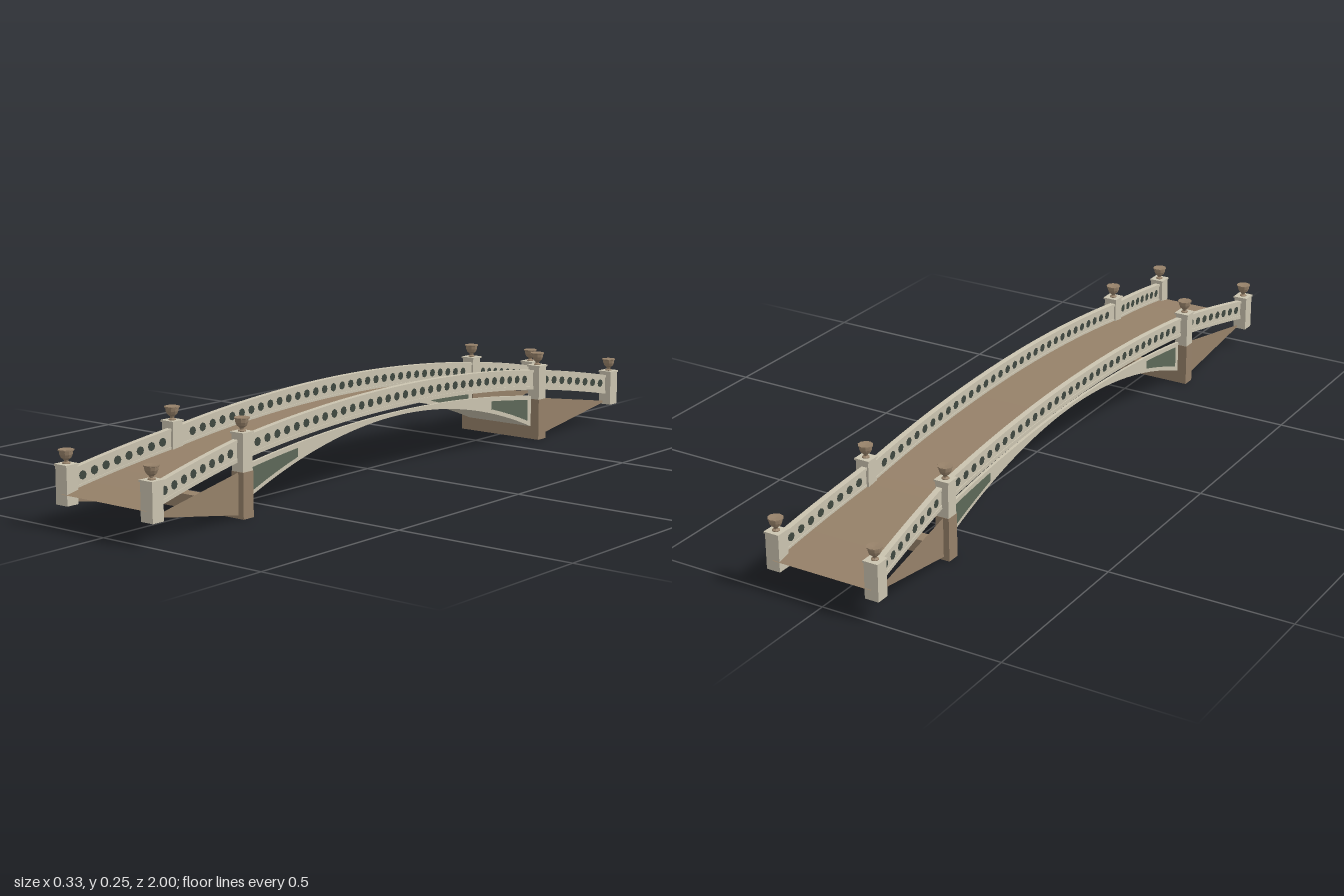
import * as THREE from 'three';
import { mergeGeometries } from 'three/addons/utils/BufferGeometryUtils.js';

const mat = (name, color, side = THREE.FrontSide) => {
  const m = new THREE.MeshStandardMaterial({ color, side });
  m.name = name;
  return m;
};

// Curves along the span
const POST = 0.637, END = 0.981;
const deckY = z => 0.19 - 0.105 * z * z;
const soffitY = z => 0.162 - 0.327 * z * z;
const wallTop = z => 0.172 - 0.12 * z * z;
const railX = z => 0.11 + Math.max(0, Math.abs(z) - POST) * 0.09;
const range = (a, b, n) => Array.from({ length: n + 1 }, (_, i) => a + (b - a) * i / n);

// Sweep a cross-section (counter-clockwise in x, y) along z
function sweep(zs, section, closed = true) {
  const pos = [];
  for (let k = 0; k < zs.length - 1; k++) {
    const z0 = zs[k], z1 = zs[k + 1], s0 = section(z0), s1 = section(z1);
    const n = closed ? s0.length : s0.length - 1;
    for (let i = 0; i < n; i++) {
      const j = (i + 1) % s0.length;
      const a = [...s0[i], z0], b = [...s0[j], z0], c = [...s1[j], z1], d = [...s1[i], z1];
      pos.push(...a, ...b, ...c, ...a, ...c, ...d);
    }
  }
  const g = new THREE.BufferGeometry();
  g.setAttribute('position', new THREE.Float32BufferAttribute(pos, 3));
  g.computeVertexNormals();
  return g;
}
const rect = (x, hw, y0, y1) => [[x - hw, y0], [x + hw, y0], [x + hw, y1], [x - hw, y1]];

export function createModel() {
  const model = new THREE.Group();
  model.name = 'footbridge';
  const cream = mat('cream stone', 0xcbc4b0);
  const brown = mat('brown stone', 0x968169, THREE.DoubleSide);
  const green = mat('dark green panel', 0x5d6858);
  const dark = mat('dark piercing', 0x3f4840);

  const add = (name, geo, material, parent = model) => {
    const m = new THREE.Mesh(geo, material);
    m.name = name;
    parent.add(m);
    return m;
  };
  const box = (name, w, y0, y1, d, material, parent) => {
    const m = add(name, new THREE.BoxGeometry(w, y1 - y0, d), material, parent);
    m.position.y = (y0 + y1) / 2;
    return m;
  };

  // Deck, flared towards both ends
  const deckZ = [...range(-1, -POST, 8), ...range(-POST, POST, 32).slice(1), ...range(POST, 1, 8).slice(1)];
  add('deck', sweep(deckZ, z => [[railX(z), deckY(z)], [-railX(z), deckY(z)]], false), brown);

  // Arch underside
  const archZ = range(-0.62, 0.62, 36);
  add('archSoffit', sweep(archZ, z => [[-0.11, soffitY(z)], [0.11, soffitY(z)]], false), cream);

  // Urn profile
  const urnGeo = new THREE.LatheGeometry([
    [0, 0], [0.01, 0], [0.01, 0.002], [0.005, 0.005], [0.006, 0.009], [0.013, 0.015],
    [0.0165, 0.023], [0.0175, 0.031], [0.02, 0.032], [0.02, 0.035], [0, 0.033],
  ].map(p => new THREE.Vector2(...p)), 10).toNonIndexed();
  urnGeo.computeVertexNormals();

  const dots = [];
  for (const s of [1, -1]) {
    // Parapets: three bays each side
    for (const [a, b, n, count, margin] of [
      [-POST, POST, 36, 32, 0.06], [POST, END, 8, 8, 0.045], [-END, -POST, 8, 8, 0.045]]) {
      const zs = range(a, b, n);
      const strip = (name, hw, lo, hi) =>
        add(name, sweep(zs, z => rect(s * railX(z), hw, deckY(z) + lo, deckY(z) + hi)), cream);
      strip('parapet', 0.005, 0.003, 0.048);
      strip('coping', 0.008, 0.046, 0.053);
      strip('parapetBase', 0.007, -0.004, 0.006);

      // Round piercings showing on both faces
      const mid = (a + b) / 2;
      const turn = Math.abs(mid) > POST ? Math.atan(0.09) * s * Math.sign(mid) : 0;
      for (const z of range(a + margin, b - margin, count - 1)) {
        dots.push(new THREE.CylinderGeometry(0.0115, 0.0115, 0.0115, 8)
          .rotateZ(Math.PI / 2).rotateY(turn)
          .translate(s * railX(z), deckY(z) + 0.026, z));
      }
    }

    // Spandrel wall with an inset-coloured panel near each springing
    add('spandrelWall', sweep(archZ, z => rect(s * 0.106, 0.004, soffitY(z), wallTop(z))), cream);
    for (const e of [1, -1]) {
      const zs = range(0.42, 0.6, 8).map(z => z * e).sort((p, q) => p - q);
      add('spandrelPanel', sweep(zs, z =>
        rect(s * 0.106, 0.0055, soffitY(z) + 0.012, wallTop(z) - 0.012)), green);

      // Wing wall tapering out to the end post
      const wingX = z => s * (0.12 + (Math.abs(z) - POST) * 0.05);
      const t = z => (Math.abs(z) - POST) / (0.97 - POST);
      add('wingWall', sweep([POST * e, 0.97 * e].sort((p, q) => p - q), z =>
        [[wingX(z), 0.006 + 0.057 * t(z)], [wingX(z), 0.12 - 0.055 * t(z)]], false), brown);

      // Middle pier post
      const pier = new THREE.Group();
      pier.name = 'pierPost';
      pier.position.set(s * 0.118, 0, e * POST);
      model.add(pier);
      box('pierBase', 0.039, 0, 0.118, 0.037, brown, pier);
      box('pierShaft', 0.037, 0.118, 0.212, 0.035, cream, pier);
      box('pierCap', 0.043, 0.212, 0.217, 0.041, cream, pier);
      add('urn', urnGeo, brown, pier).position.y = 0.217;

      // End post
      const end = new THREE.Group();
      end.name = 'endPost';
      end.position.set(s * 0.143, 0, e * 0.979);
      model.add(end);
      box('endShaft', 0.039, 0.057, 0.153, 0.037, cream, end);
      box('endCap', 0.043, 0.153, 0.158, 0.042, cream, end);
      add('urn', urnGeo, brown, end).position.y = 0.158;
    }
  }
  add('parapetPiercings', mergeGeometries(dots), dark);

  // Springing blocks between the pier posts
  for (const e of [1, -1]) box('springingBlock', 0.2, 0, 0.037, 0.037, brown).position.z = e * POST;

  return model;
}
